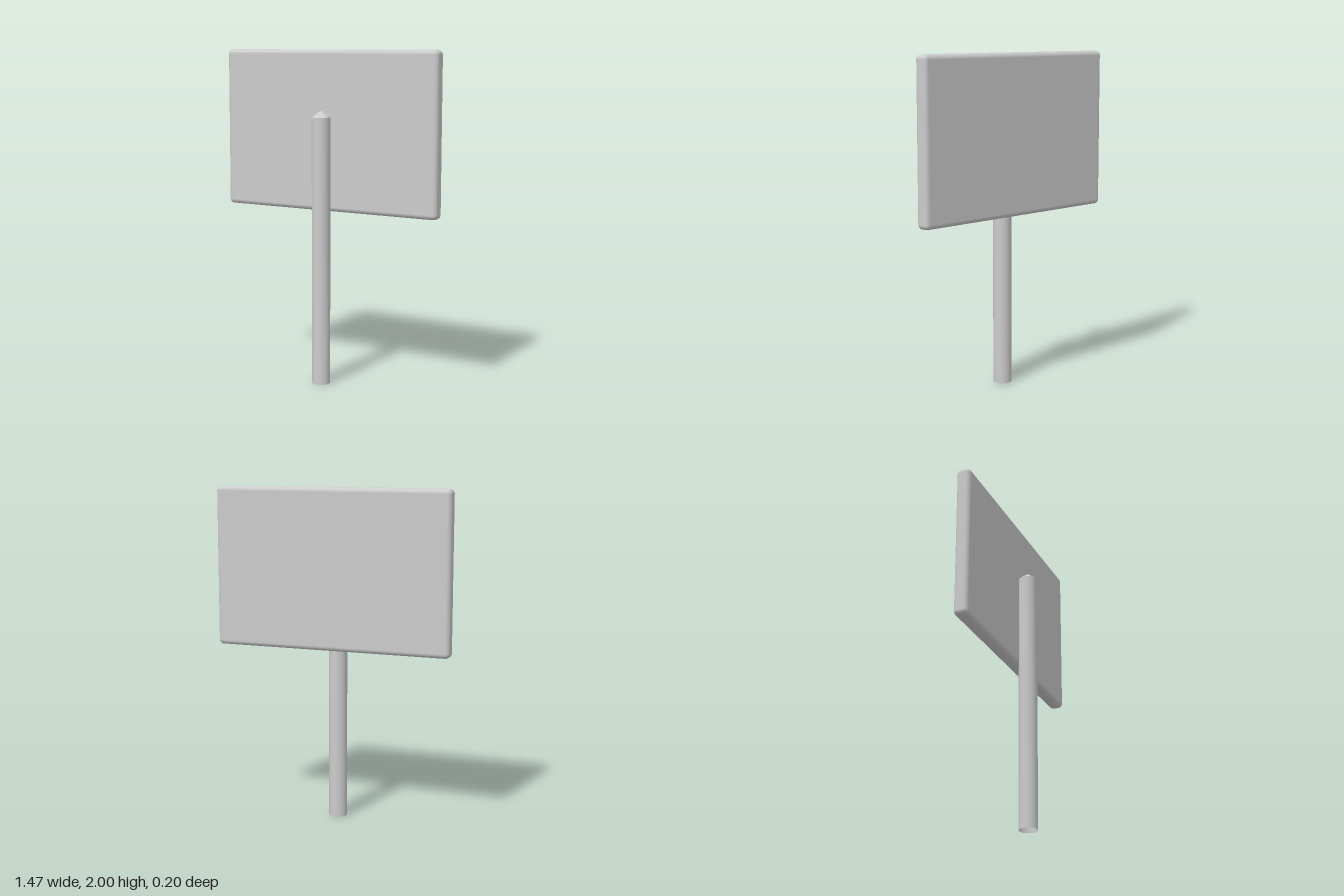
import * as THREE from 'three';
import { RoundedBoxGeometry } from 'three/addons/geometries/RoundedBoxGeometry.js';
import { toCreasedNormals } from 'three/addons/utils/BufferGeometryUtils.js';

export function createModel() {
  const group = new THREE.Group();
  const material = new THREE.MeshStandardMaterial({ color: 0xcccccc });

  // Sign board with softly rounded edges
  const board = new THREE.Mesh(new RoundedBoxGeometry(1.465, 0.96, 0.087, 3, 0.028), material);
  board.name = 'signBoard';
  board.position.set(0, 1.52, -0.0565);
  group.add(board);

  // Round post with a shallow pointed cap, open at the bottom
  const profile = [[0.055, 0], [0.055, 1.605], [0.012, 1.638], [0, 1.642]]
    .map(([r, y]) => new THREE.Vector2(r, y));
  const postMaterial = material.clone();
  postMaterial.side = THREE.DoubleSide;
  const post = new THREE.Mesh(
    toCreasedNormals(new THREE.LatheGeometry(profile, 32), 0.5), postMaterial);
  post.name = 'post';
  post.position.z = 0.045;
  group.add(post);

  return group;
}
